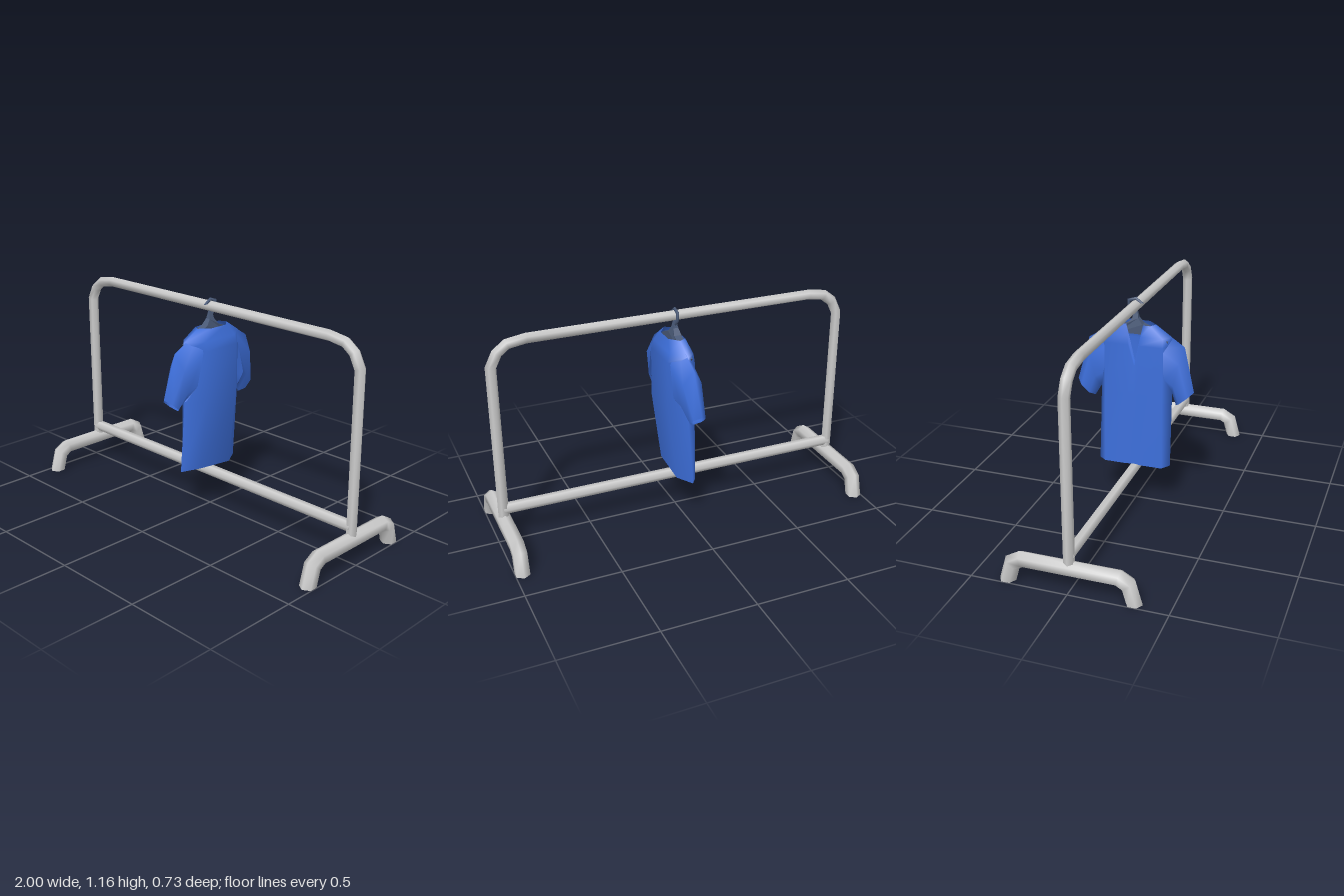
import * as THREE from 'three';

const grey = new THREE.MeshStandardMaterial({ color: 0xcccccc });
const dark = new THREE.MeshStandardMaterial({ color: 0x4a5a78 });
const blue = new THREE.MeshStandardMaterial({ color: 0x3d6fdb, side: THREE.DoubleSide });
const V = (x, y, z) => new THREE.Vector3(x, y, z);

// Skin a list of closed rings; optionally cap both ends with flat faces
function loft(rings, capped = false) {
  const pos = [], idx = [], n = rings[0].length;
  const add = ring => { const s = pos.length / 3; ring.forEach(p => pos.push(p.x, p.y, p.z)); return s; };
  rings.forEach(add);
  for (let i = 0; i < rings.length - 1; i++) {
    for (let j = 0; j < n; j++) {
      const a = i * n + j, b = i * n + (j + 1) % n;
      idx.push(a, b, b + n, a, b + n, a + n);
    }
  }
  if (capped) {
    const s = add(rings[0]), e = add(rings[rings.length - 1]);
    for (let j = 1; j < n - 1; j++) idx.push(s, s + j + 1, s + j, e, e + j, e + j + 1);
  }
  const g = new THREE.BufferGeometry();
  g.setAttribute('position', new THREE.Float32BufferAttribute(pos, 3));
  g.setIndex(idx);
  g.computeVertexNormals();
  return g;
}

// Six-sided pipe with mitred bends along a planar path, ends cut level
function pipe(path, planeNormal, r) {
  const rings = path.map((p, i) => {
    const before = i > 0 ? p.clone().sub(path[i - 1]).normalize() : null;
    const after = i < path.length - 1 ? path[i + 1].clone().sub(p).normalize() : null;
    const dir = before || after;
    const t = before && after ? before.clone().add(after).normalize() : V(0, Math.sign(dir.y), 0);
    const side = planeNormal.clone().cross(t).multiplyScalar(r / t.dot(dir));
    return Array.from({ length: 6 }, (_, k) => p.clone()
      .addScaledVector(side, Math.cos(k * Math.PI / 3))
      .addScaledVector(planeNormal, r * Math.sin(k * Math.PI / 3)));
  });
  return loft(rings, true);
}

function createModel() {
  const model = new THREE.Group();
  const add = (parent, name, geometry, material) => {
    const m = new THREE.Mesh(geometry, material);
    m.name = name;
    parent.add(m);
    return m;
  };
  // Complete a half path with its mirror image
  const mirrored = (half, axis) => half.concat([...half].reverse().map(p => {
    const q = p.clone();
    q[axis] *= -1;
    return q;
  }));

  // Rack: bent upper frame, lower rail and two feet
  const rack = new THREE.Group();
  rack.name = 'rack';
  model.add(rack);
  const frameHalf = [[-0.963, 0.15], [-0.963, 0.99], [-0.928, 1.06], [-0.875, 1.1], [-0.78, 1.115]];
  add(rack, 'upperFrame', pipe(mirrored(frameHalf.map(([x, y]) => V(x, y, 0)), 'x'), V(0, 0, 1), 0.028), grey);
  const rail = add(rack, 'lowerRail', new THREE.CylinderGeometry(0.03, 0.03, 1.93, 6).rotateZ(Math.PI / 2), grey);
  rail.position.y = 0.196;
  const footHalf = [[0.32, 0], [0.292, 0.098], [0.245, 0.125]];
  for (const s of [-1, 1]) {
    const path = mirrored(footHalf.map(([z, y]) => V(0, y, z)), 'z');
    add(rack, s < 0 ? 'rightFoot' : 'leftFoot', pipe(path, V(1, 0, 0), 0.041), grey).position.x = s * 0.963;
  }

  // Hanger: hook over the rail, and sloping shoulders that thicken downwards
  const hanger = new THREE.Group();
  hanger.name = 'hanger';
  model.add(hanger);
  const hook = [[0.03, 1.128], [0, 1.15], [-0.037, 1.138], [-0.037, 1.098], [0, 1.06]];
  add(hanger, 'hook', pipe(hook.map(([z, y]) => V(0, y, z)), V(1, 0, 0), 0.008), dark);
  const arm = [[0.009, 1.09], [0.016, 1.05], [0.04, 1.018], [0.1, 0.995], [0.18, 0.94], [0.17, 0.92], [0.09, 0.965]];
  const outline = arm.concat([...arm].reverse().map(([x, y]) => [-x, y]));
  const shape = new THREE.Shape(outline.map(([x, y]) => new THREE.Vector2(x, y)));
  let body = new THREE.ExtrudeGeometry(shape, { depth: 0.04, bevelEnabled: false });
  body.translate(0, 0, -0.02).rotateY(Math.PI / 2);
  const p = body.attributes.position;
  for (let i = 0; i < p.count; i++) {
    p.setX(i, p.getX(i) * THREE.MathUtils.clamp(1 - (p.getY(i) - 1.018) / 0.09, 0.2, 1));
  }
  body.computeVertexNormals();
  add(hanger, 'hangerShoulders', body, dark);

  // Shirt body: y, half width, chest x, back x, side x, slit half width, slit y
  const shirt = new THREE.Group();
  shirt.name = 'shirt';
  model.add(shirt);
  const rows = [
    [0.225, 0.2, -0.05, 0.035, -0.02, 0.04, 0.225],
    [0.64, 0.197, -0.045, 0.088, 0.01, 0.03, 0.62],
    [0.91, 0.197, -0.043, 0.088, 0.01, 0.03, 0.79],
    [0.957, 0.195, -0.036, 0.075, 0.01, 0.035, 0.8],
    [1.016, 0.105, -0.022, 0.06, 0.015, 0.045, 0.81]];
  add(shirt, 'shirtBody', loft(rows.map(([y, w, xf, xb, xs, slit, ys], i) => {
    const hem = i === 0 ? 0.022 : 0;
    return [
      V(xs, y + hem / 2, w), V(xb, y + hem, w * 0.55), V(xb, y, -w * 0.55), V(xs, y, -w),
      V(xf, y, -w * 0.8), V(xf, y, -slit), V(xf + 0.01, ys, 0), V(xf, y, slit), V(xf, y, w * 0.8)];
  })), blue);

  // Sleeves: top [z, y], bottom [z, y], chest x, back x
  const cuts = [
    [[0.1, 1.014], [0.193, 0.645], -0.04, 0.08],
    [[0.262, 0.912], [0.2, 0.64], -0.043, 0.06],
    [[0.322, 0.675], [0.225, 0.592], -0.045, 0.022]];
  for (const s of [-1, 1]) {
    const rings = cuts.map(([top, bottom, xf, xb]) => {
      const at = (x, f, sag = 0) => V(x, THREE.MathUtils.lerp(top[1], bottom[1], f) - sag,
        s * THREE.MathUtils.lerp(top[0], bottom[0], f));
      const mid = (xf + xb) / 2;
      return [at(mid, 0), at(xb, 0.3), at(xb, 0.75), at(mid, 1), at(xf, 0.75), at(xf, 0.3)];
    });
    add(shirt, s < 0 ? 'backwardSleeve' : 'forwardSleeve', loft(rings), blue);
  }
  return model;
}

export { createModel };
